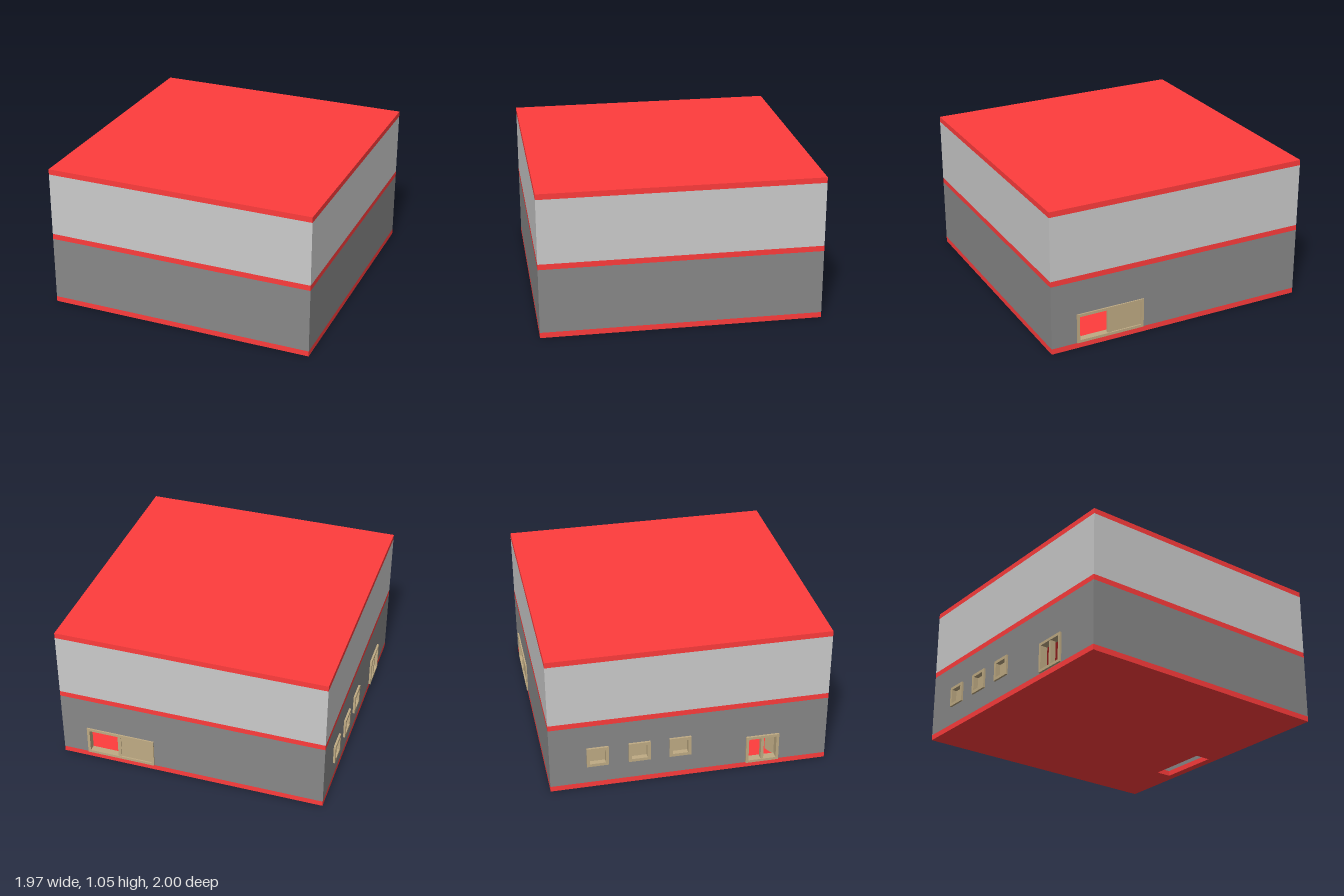
import * as THREE from 'three';

const red = new THREE.MeshStandardMaterial({ color: 0xff3c3c });
const lowerGrey = new THREE.MeshStandardMaterial({ color: 0x888888 });
const upperGrey = new THREE.MeshStandardMaterial({ color: 0xcccccc });
const tan = new THREE.MeshStandardMaterial({ color: 0xbfab84 });

// Overall footprint, wall thickness and storey heights
const X0 = -0.97, X1 = 0.98, Z0 = -0.99, Z1 = 1.0, T = 0.04;
const SLAB = 0.04, MID = 0.51, TOP = 1.015;

function rect(Type, x0, x1, y0, y1) {
  return new Type([
    new THREE.Vector2(x0, y0), new THREE.Vector2(x1, y0),
    new THREE.Vector2(x1, y1), new THREE.Vector2(x0, y1),
  ]);
}

// Rectangle with rectangular holes [x0, x1, y0, y1], extruded along z
function plate(name, material, outer, holes, depth) {
  const shape = rect(THREE.Shape, ...outer);
  shape.holes = holes.map((h) => rect(THREE.Path, ...h));
  const geometry = new THREE.ExtrudeGeometry(shape, { depth, bevelEnabled: false });
  const mesh = new THREE.Mesh(geometry, material);
  mesh.name = name;
  return mesh;
}

function block(name, material, x0, x1, y0, y1, z0, z1) {
  const mesh = new THREE.Mesh(new THREE.BoxGeometry(x1 - x0, y1 - y0, z1 - z0), material);
  mesh.position.set((x0 + x1) / 2, (y0 + y1) / 2, (z0 + z1) / 2);
  mesh.name = name;
  return mesh;
}

// Horizontal slab or ring of walls, extruded upwards from y
function level(name, material, y, height, holes) {
  const mesh = plate(name, material, [X0, X1, -Z1, -Z0], holes, height);
  mesh.rotation.x = -Math.PI / 2;
  mesh.position.y = y;
  return mesh;
}

// Frame around an opening; local z = 0 is the outer wall face, +z goes inward
function frame(name, [x0, x1, y0, y1], bar, out) {
  const mesh = plate(name, tan, [x0, x1, y0, y1],
    [[x0 + bar, x1 - bar, y0 + bar, y1 - bar]], T + out);
  mesh.position.z = -out;
  return mesh;
}

// Wall with an opening cut just inside the outline of every frame
function wall(name, u0, u1, openings) {
  const holes = openings.map(([a, b, c, d]) => [a + 0.005, b - 0.005, c + 0.005, d - 0.005]);
  return plate(name, lowerGrey, [u0, u1, SLAB, MID], holes, T);
}

export function createModel() {
  const model = new THREE.Group();
  model.name = 'building';

  // Slabs, the lowest with a narrow floor opening, and the upper storey walls
  model.add(level('floorSlab', red, 0, SLAB, [[0.8, 0.92, 0.01, 0.48]]));
  model.add(level('middleSlab', red, MID, 0.04, []));
  model.add(level('roofSlab', red, TOP, 0.04, []));
  model.add(level('upperWalls', upperGrey, MID + 0.04, TOP - MID - 0.04,
    [[X0 + T, X1 - T, -Z1 + T, -Z0 - T]]));

  // Plain lower walls
  model.add(block('frontWall', lowerGrey, X0, X1, SLAB, MID, Z1 - T, Z1));
  model.add(block('leftWall', lowerGrey, X1 - T, X1, SLAB, MID, Z0 + T, Z1 - T));

  // Back wall with a half-open sliding door
  const back = new THREE.Group();
  back.name = 'backWallGroup';
  back.position.z = Z0;
  const sliding = [0.28, 0.79, 0.042, 0.26];
  back.add(wall('backWall', X0, X1, [sliding]));
  back.add(frame('slidingDoorFrame', sliding, 0.02, 0.01));
  back.add(block('slidingDoorStile', tan, 0.53, 0.555, 0.06, 0.242, -0.006, 0.02));
  back.add(block('slidingDoorPanel', tan, 0.298, 0.535, 0.06, 0.242, 0, 0.014));
  model.add(back);

  // Right wall with three windows and a double door
  const side = new THREE.Group();
  side.name = 'rightWallGroup';
  side.rotation.y = Math.PI / 2;
  side.position.x = X0;
  const windows = [-0.01, 0.28, 0.575].map((u) => [u, u + 0.155, 0.18, 0.33]);
  const door = [-0.65, -0.41, 0.042, 0.26];
  side.add(wall('rightWall', -Z1 + T, -Z0 - T, [...windows, door]));
  for (const w of windows) {
    side.add(frame('windowFrame', w, 0.022, 0.015));
    side.add(block('windowPane', tan, w[0] + 0.02, w[1] - 0.02, 0.2, 0.31, 0.022, 0.03));
  }
  side.add(frame('doubleDoorFrame', door, 0.02, 0.015));
  side.add(block('doubleDoorStile', tan, -0.54, -0.52, 0.06, 0.242, -0.01, 0.03));

  // Door leaf standing open into the room
  const leaf = new THREE.Group();
  leaf.name = 'doorLeaf';
  leaf.add(block('doorLeafPanel', tan, 0, 0.1, 0.045, 0.242, 0, 0.01));
  leaf.position.set(-0.635, 0, T);
  leaf.rotation.y = -1.1;
  side.add(leaf);
  model.add(side);

  return model;
}
